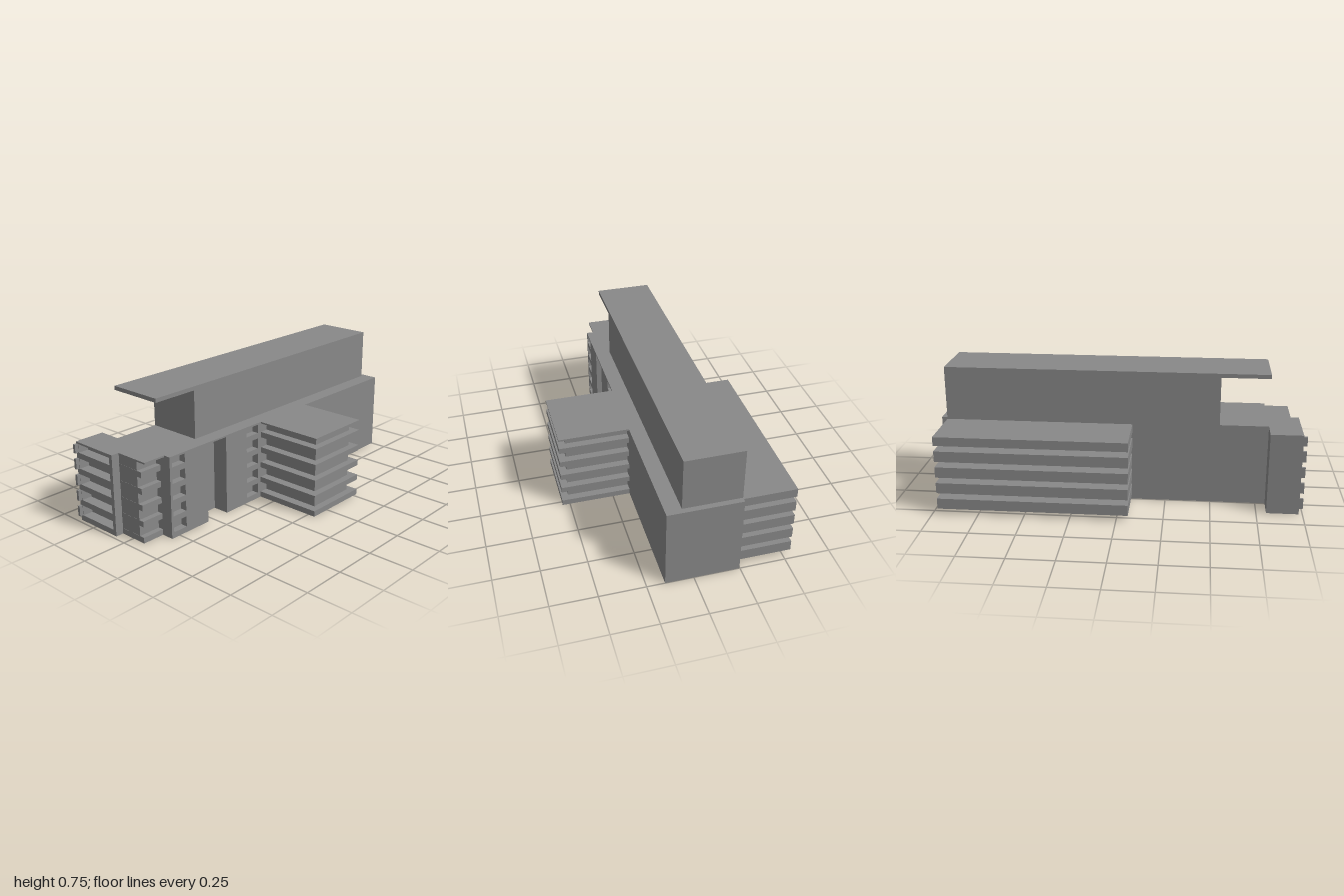
import * as THREE from 'three';

const mat = new THREE.MeshStandardMaterial({ color: 0x888888, flatShading: true });
const TOP = 0.455;
const FRONT = 0.153;
const BACK = -0.247;
// vertical ranges of the five storeys' openings
const rows = [[0.032, 0.091], [0.123, 0.182], [0.214, 0.273], [0.305, 0.364], [0.396, 0.445]];
// floor plates between the openings, and the thin roof plate
const plates = [[0, 0.032], [0.092, 0.123], [0.182, 0.214], [0.273, 0.305], [0.364, 0.396]];
const roof = [0.446, TOP];

export function createModel() {
  const model = new THREE.Group();

  function add(name, geometry, parent = model) {
    const mesh = new THREE.Mesh(geometry, mat);
    mesh.name = name;
    parent.add(mesh);
  }

  // box given by its limits on each axis
  function box(name, [x0, x1], [y0, y1], [z0, z1], parent) {
    const g = new THREE.BoxGeometry(x1 - x0, y1 - y0, z1 - z0);
    g.translate((x0 + x1) / 2, (y0 + y1) / 2, (z0 + z1) / 2);
    add(name, g, parent);
  }

  function stack(name, levels, x, z) {
    const group = new THREE.Group();
    group.name = name;
    levels.forEach((y) => box('slab', x, y, z, group));
    model.add(group);
  }

  function windowHole(x0, x1, y0, y1) {
    return new THREE.Path([
      new THREE.Vector2(x0, y0), new THREE.Vector2(x0, y1),
      new THREE.Vector2(x1, y1), new THREE.Vector2(x1, y0),
    ]);
  }

  // layer of the front wall, notched for the tall entrance niche
  function frontLayer(name, z0, z1, columns) {
    const outline = [[-0.805, 0], [-0.54, 0], [-0.54, 0.446], [-0.395, 0.446], [-0.395, 0], [1, 0], [1, TOP], [-0.805, TOP]];
    const shape = new THREE.Shape(outline.map(([x, y]) => new THREE.Vector2(x, y)));
    for (const [x0, x1] of columns)
      for (const [y0, y1] of rows) shape.holes.push(windowHole(x0, x1, y0, y1));
    const g = new THREE.ExtrudeGeometry(shape, { depth: z1 - z0, bevelEnabled: false });
    add(name, g.translate(0, 0, z0));
  }

  // main block with recessed front windows
  box('mainBlock', [-0.805, 1], [0, TOP], [BACK, 0.06]);
  frontLayer('innerFrontWall', 0.06, 0.113, []);
  frontLayer('outerFrontWall', 0.113, FRONT, [[-0.79, -0.70], [-0.232, -0.14]]);

  // upper storey and its cantilevered roof
  box('upperStorey', [-0.54, 0.97], [TOP, 0.745], [BACK, 0.067]);
  box('roofOverhang', [-0.805, -0.54], [0.723, 0.745], [BACK, 0.067]);

  // rear balconies
  stack('rearBalconies', rows, [-0.064, 0.97], [-0.54, BACK]);

  // front bay: recessed core between floor plates
  box('frontBayCore', [-0.065, 0.235], [0, TOP - 0.004], [FRONT, 0.502]);
  stack('frontBayPlates', [...plates, roof], [-0.115, 0.277], [FRONT, 0.542]);

  // end wing, with an outer wall pierced by openings
  box('endWing', [-0.92, -0.805], [0, TOP], [-0.373, -0.083]);
  const wall = new THREE.Shape([
    new THREE.Vector2(-0.373, 0), new THREE.Vector2(-0.083, 0),
    new THREE.Vector2(-0.083, TOP), new THREE.Vector2(-0.373, TOP),
  ]);
  rows.forEach(([y0, y1]) => wall.holes.push(windowHole(-0.355, -0.105, y0, y1)));
  const wallGeometry = new THREE.ExtrudeGeometry(wall, { depth: 0.06, bevelEnabled: false });
  wallGeometry.rotateY(-Math.PI / 2).translate(-0.92, 0, 0);
  add('endWingWall', wallGeometry);
  stack('endWingFins', rows, [-1, -0.98], [-0.373, -0.357]);

  // corner bay beside the end wing: flush core, short plates, wider roof
  box('cornerBayCore', [-0.934, -0.805], [0, TOP - 0.004], [-0.083, 0.052]);
  stack('cornerBayPlates', plates, [-0.935, -0.805], [-0.083, 0.083]);
  box('cornerBayRoof', [-0.935, -0.805], roof, [-0.083, 0.113]);

  return model;
}
